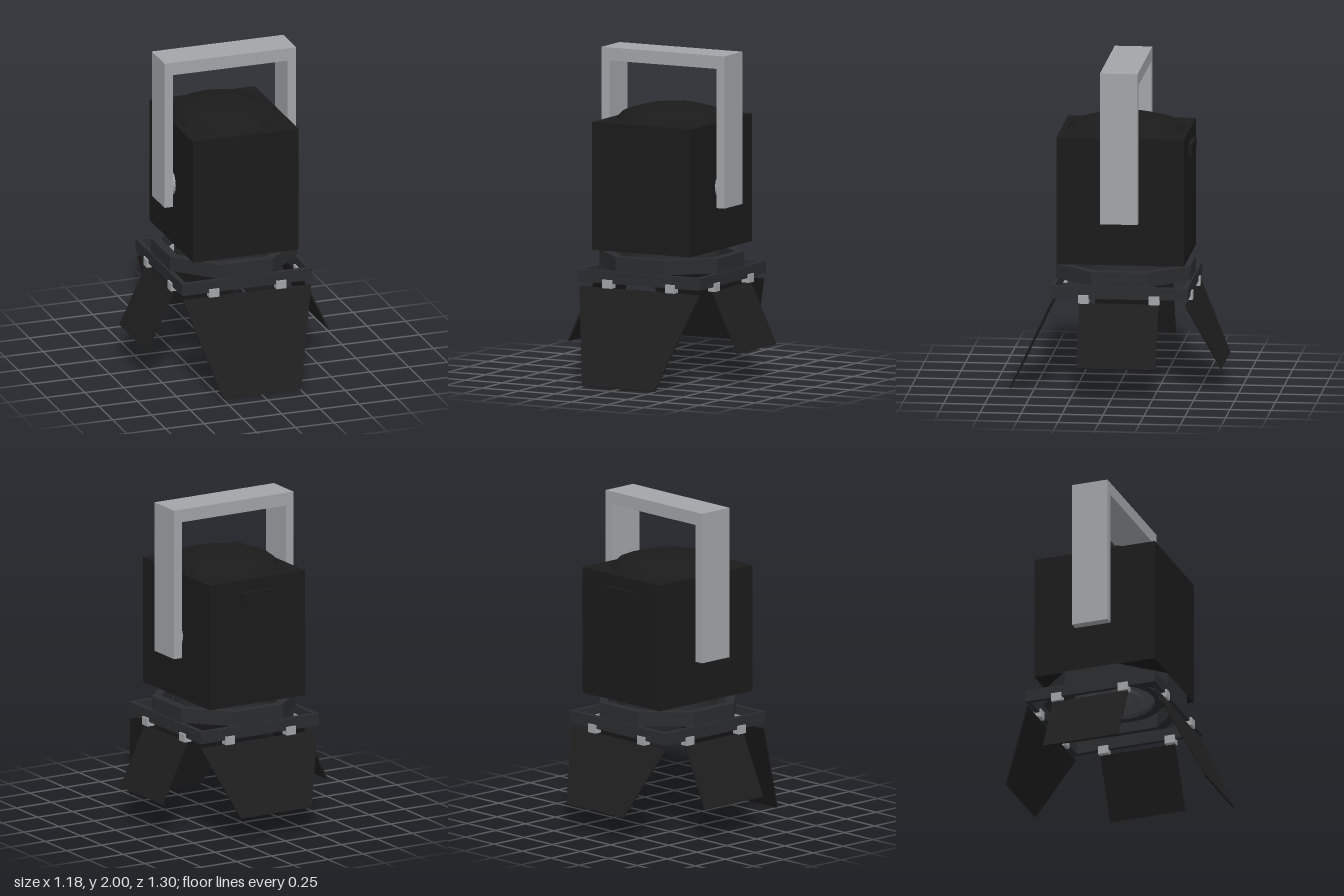
import * as THREE from 'three';

const paint = (color, side = THREE.FrontSide) => {
  const m = new THREE.MeshStandardMaterial({ side, flatShading: true });
  m.color.set(color);
  return m;
};

export function createModel() {
  const model = new THREE.Group();
  const lamp = new THREE.Group();
  lamp.name = 'stageLamp';
  lamp.position.z = -0.035;
  model.add(lamp);

  const black = paint(0x1b1b1c);
  const dark = paint(0x2a2c2f);
  const steel = paint(0xa1a5a8);
  const glass = paint(0x50555a, THREE.DoubleSide);
  const flapPaint = paint(0x1e1e1e);

  const add = (name, geometry, material, x = 0, y = 0, z = 0, parent = lamp) => {
    const mesh = new THREE.Mesh(geometry, material);
    mesh.name = name;
    mesh.position.set(x, y, z);
    parent.add(mesh);
    return mesh;
  };
  const box = (name, w, h, d, material, x, y, z, parent) =>
    add(name, new THREE.BoxGeometry(w, h, d), material, x, y, z, parent);
  const lathe = (points, segments) =>
    new THREE.LatheGeometry(points.map(p => new THREE.Vector2(...p)), segments);

  // Housing with a shallow oval cap and a rear handle
  box('housing', 0.68, 0.785, 0.78, black, 0, 1.1875, 0);
  const cap = add('domeCap', lathe([[0.365, 0], [0.325, 0.042], [0.185, 0.08], [0, 0.095]], 16), black, 0, 1.58, 0);
  cap.scale.x = 0.91;
  box('rearHandle', 0.236, 0.065, 0.028, black, 0, 1.473, -0.402);

  // Hanging yoke and its pivots
  box('yokeTop', 0.85, 0.08, 0.23, steel, 0, 1.96, 0);
  for (const s of [-1, 1]) {
    box('yokeArm', 0.055, 0.855, 0.23, steel, s * 0.3975, 1.4925, 0);
    const pivot = add('yokePivot', new THREE.CylinderGeometry(0.08, 0.08, 0.06, 16), steel, s * 0.355, 1.185, 0);
    pivot.rotation.z = Math.PI / 2;
  }

  // Lens barrel and stepped lens, facing down
  add('lensBarrel', lathe([
    [0.25, 0.74], [0.25, 0.71], [0.3, 0.71], [0.3, 0.8]
  ], 24), paint(0x2a2c2f, THREE.DoubleSide));
  add('lens', lathe([
    [0, 0.695], [0.1, 0.7], [0.11, 0.715], [0.17, 0.71], [0.18, 0.73], [0.255, 0.738]
  ], 24), glass);

  // Flat ring of n sides, extruded upward
  const ring = (n, outer, inner, height) => {
    const corners = r => Array.from({ length: n }, (_, i) => {
      const a = (i + 0.5) * Math.PI * 2 / n;
      const c = r / Math.cos(Math.PI / n);
      return new THREE.Vector2(c * Math.cos(a), c * Math.sin(a));
    });
    const shape = new THREE.Shape(corners(outer));
    shape.holes.push(new THREE.Path(corners(inner)));
    return new THREE.ExtrudeGeometry(shape, { depth: height, bevelEnabled: false }).rotateX(-Math.PI / 2);
  };
  add('octagonalRing', ring(8, 0.41, 0.355, 0.09), dark, 0, 0.675, 0);
  add('squareFrame', ring(4, 0.421, 0.391, 0.075), dark, 0, 0.6, 0);

  // Four barn doors, each hung from a pair of clips
  const doors = [
    { name: 'frontDoor', turn: 0, top: 0.415, bottom: 0.25, start: 0.412, out: 0.27, drop: 0.568 },
    { name: 'leftDoor', turn: 1, top: 0.2425, bottom: 0.2425, start: 0.41, out: 0.175, drop: 0.37 },
    { name: 'backDoor', turn: 2, top: 0.415, bottom: 0.25, start: 0.407, out: 0.2, drop: 0.42 },
    { name: 'rightDoor', turn: 3, top: 0.2425, bottom: 0.2425, start: 0.41, out: 0.175, drop: 0.37 }
  ];
  for (const d of doors) {
    const door = new THREE.Group();
    door.name = d.name;
    door.rotation.y = d.turn * Math.PI / 2;
    lamp.add(door);
    const length = Math.hypot(d.out, d.drop);
    const shape = new THREE.Shape([[-d.bottom, -length], [d.bottom, -length], [d.top, 0], [-d.top, 0]]
      .map(p => new THREE.Vector2(...p)));
    const panel = new THREE.ExtrudeGeometry(shape, { depth: 0.01, bevelEnabled: false }).translate(0, 0, -0.005);
    add('doorPanel', panel, flapPaint, 0, 0.57, d.start, door).rotation.x = -Math.atan2(d.out, d.drop);
    for (const s of [-1, 1]) box('doorClip', 0.064, 0.052, 0.05, steel, s * 0.216, 0.597, 0.407, door);
  }
  return model;
}
